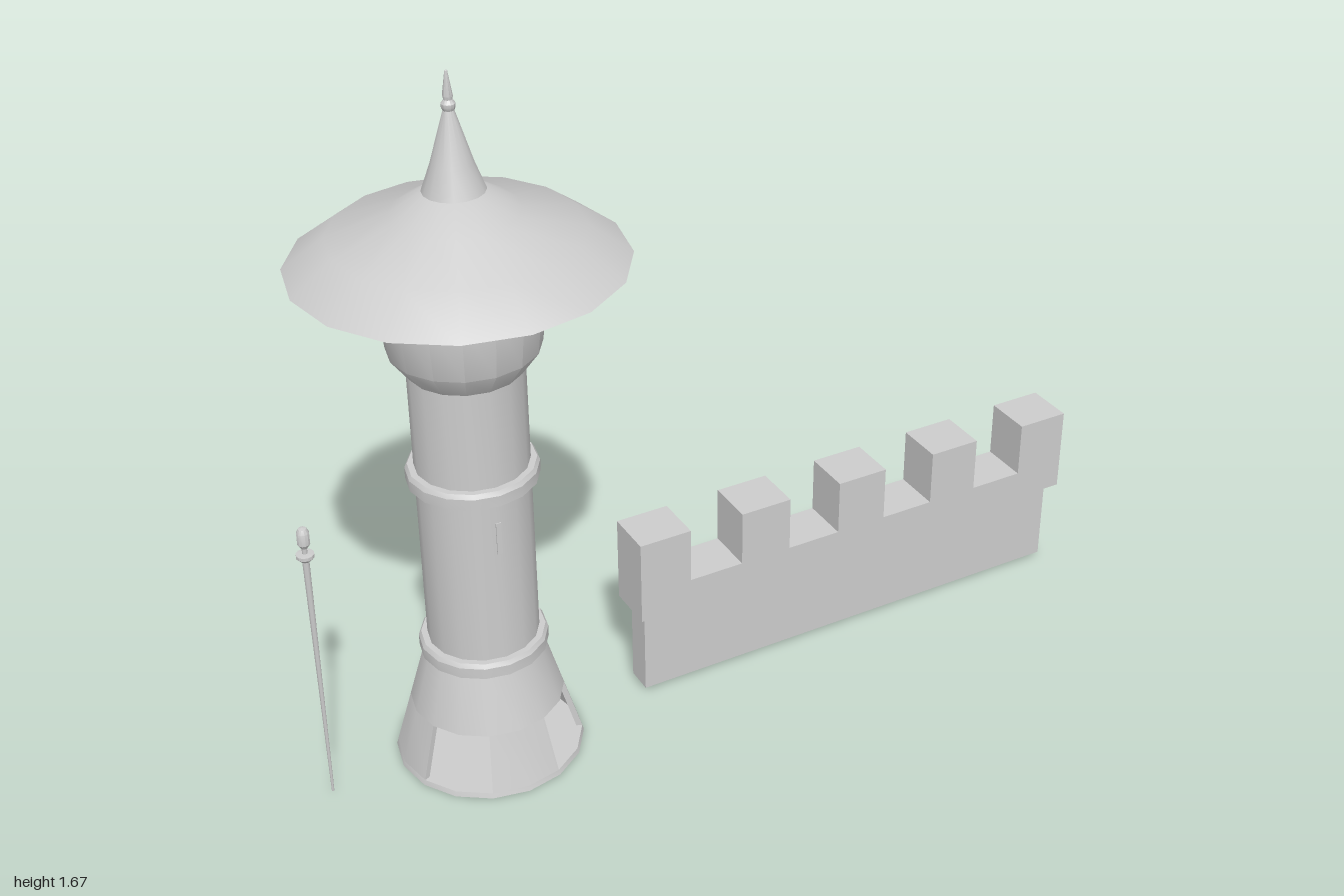
import * as THREE from 'three';
import { toCreasedNormals, mergeGeometries } from 'three/addons/utils/BufferGeometryUtils.js';

const stone = new THREE.MeshStandardMaterial({ color: 0xcccccc, side: THREE.DoubleSide });
stone.name = 'stone grey';

const SIDES = 16;
const vec = (pts) => pts.map(([r, y]) => new THREE.Vector2(r, y));

function add(parent, name, geometry) {
  const mesh = new THREE.Mesh(geometry, stone);
  mesh.name = name;
  parent.add(mesh);
  return mesh;
}

// Round part from a [radius, height] profile listed upwards
function turned(pts, sides = SIDES, crease = 0.5) {
  return toCreasedNormals(new THREE.LatheGeometry(vec(pts), sides), crease);
}

// Curved wall piece between two angles, closed at both ends
function wallPiece(pts, start, length, sides) {
  const loop = [...pts, pts[0]];
  const skin = new THREE.LatheGeometry(vec(loop), sides, start, length);
  const ends = [start, start + length].map((phi) =>
    new THREE.ShapeGeometry(new THREE.Shape(vec(pts))).rotateY(phi - Math.PI / 2));
  return toCreasedNormals(mergeGeometries([skin, ...ends]), 0.5);
}

function buildTower() {
  const tower = new THREE.Group();
  tower.name = 'tower';

  // Flared foot with four arched-through openings on the diagonals
  const footRadius = (y) => 0.219 - 0.29 * y;
  const t = 0.014;
  const section = (y0, y1) => [
    [footRadius(y0), y0], [footRadius(y1), y1],
    [footRadius(y1) - t, y1], [footRadius(y0) - t, y0],
  ];
  const upper = section(0.145, 0.29);
  add(tower, 'footFloor', turned([[0, 0], [0.219, 0], [footRadius(0.012), 0.012], [0, 0.012]]));
  add(tower, 'footUpper', turned([...upper, upper[0]]));
  for (let i = 0; i < 4; i++) {
    const start = i * Math.PI / 2 - Math.PI / 8;
    add(tower, 'footPier', wallPiece(section(0.012, 0.145), start, Math.PI / 4, 2));
  }

  // Shaft and its two bands
  add(tower, 'shaft', turned([[0, 0.285], [0.127, 0.285], [0.127, 1.008]]));
  for (const y of [0.285, 0.735]) {
    add(tower, 'band', turned([
      [0.12, y], [0.147, y], [0.147, y + 0.026], [0.141, y + 0.036], [0.12, y + 0.036],
    ]));
  }

  // Narrow slits on the shaft
  const slits = [[0, 0.64, 0.08], [Math.PI, 0.64, 0.08], [Math.PI / 2, 0.82, 0.09], [Math.PI / 2, 0.505, 0.09]];
  for (const [angle, y, height] of slits) {
    const g = new THREE.BoxGeometry(0.012, height, 0.006);
    g.translate(0, y, 0.126).rotateY(angle);
    add(tower, 'slit', g);
  }

  // Lookout head under the roof
  add(tower, 'head', turned([[0.127, 1.006], [0.166, 1.06], [0.181, 1.2], [0.165, 1.28], [0, 1.28]], SIDES, 0.55));

  // Wide roof, spire and finial
  add(tower, 'roof', turned([
    [0, 1.28], [0.165, 1.28], [0.361, 1.255], [0.27, 1.322], [0.137, 1.37], [0.066, 1.415], [0, 1.415],
  ], SIDES, 0.6));
  add(tower, 'spire', turned([[0.067, 1.415], [0.045, 1.475], [0.011, 1.59], [0, 1.59]]));
  add(tower, 'finial', turned([
    [0, 1.584], [0.01, 1.584], [0.015, 1.594], [0.015, 1.602], [0.009, 1.61],
    [0.011, 1.618], [0.003, 1.67], [0, 1.672],
  ], 12));

  tower.position.x = -0.589;
  return tower;
}

function buildWall() {
  const wall = new THREE.Group();
  wall.name = 'wall';

  // Lower wall
  const base = new THREE.BoxGeometry(1.175, 0.223, 0.066);
  add(wall, 'wallBase', base.translate(0.3925, 0.1235, 0));

  // Overhanging parapet with five merlons
  const left = -0.215, width = 0.132, pitch = (1 - width - left) / 4;
  const outline = [[left, 0.235], [1, 0.235]];
  for (let i = 4; i >= 0; i--) {
    const x0 = left + i * pitch, x1 = x0 + width;
    if (i < 4) outline.push([x1, 0.31]);
    outline.push([x1, 0.45], [x0, 0.45]);
    if (i > 0) outline.push([x0, 0.31]);
  }
  const parapet = new THREE.ExtrudeGeometry(new THREE.Shape(vec(outline)), { depth: 0.12, bevelEnabled: false });
  add(wall, 'parapet', parapet.translate(0, 0, -0.06));
  return wall;
}

function buildPost() {
  const post = new THREE.Group();
  post.name = 'post';

  // Slim tapered pole, collar and lantern knob
  add(post, 'pole', new THREE.CylinderGeometry(0.008, 0.003, 0.642, 8).translate(0, 0.321, 0));
  add(post, 'collar', turned([[0, 0.638], [0.01, 0.638], [0.02, 0.648], [0.02, 0.656], [0, 0.658]], 12));
  add(post, 'neck', new THREE.CylinderGeometry(0.006, 0.006, 0.024, 8).translate(0, 0.666, 0));
  add(post, 'knob', turned([
    [0, 0.672], [0.008, 0.672], [0.014, 0.682], [0.014, 0.71], [0.009, 0.72], [0, 0.723],
  ], 12));

  post.position.x = -0.98;
  return post;
}

export function createModel() {
  const model = new THREE.Group();
  model.name = 'towerAndWall';
  model.add(buildTower(), buildWall(), buildPost());
  return model;
}
